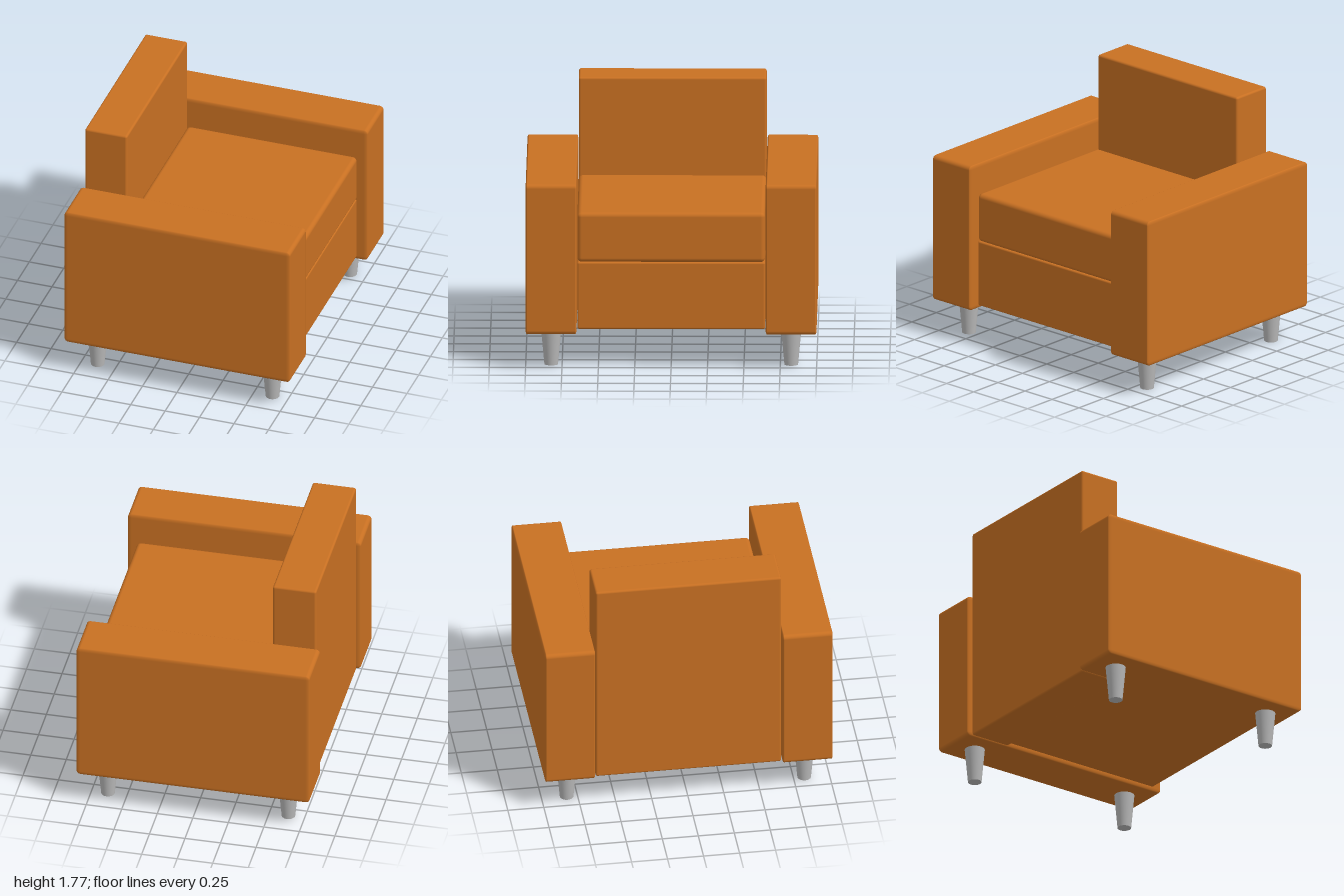
import * as THREE from 'three';
import { RoundedBoxGeometry } from 'three/addons/geometries/RoundedBoxGeometry.js';

export function createModel() {
  const group = new THREE.Group();
  const fabric = new THREE.MeshStandardMaterial({ color: 0xc87022 });
  fabric.name = 'orange upholstery';
  const metal = new THREE.MeshStandardMaterial({ color: 0xb8b8b8 });
  metal.name = 'grey leg';

  // Soft-edged block between two corners; squash flattens the rounding along z
  function block(name, min, max, radius, squash = 1) {
    const [w, h, d] = max.map((v, i) => v - min[i]);
    const geometry = new RoundedBoxGeometry(w, h, d / squash, 4, radius);
    geometry.scale(1, 1, squash);
    const mesh = new THREE.Mesh(geometry, fabric);
    mesh.name = name;
    mesh.position.set(...max.map((v, i) => (v + min[i]) / 2));
    group.add(mesh);
  }

  // Upholstered body: the seat opens toward +x
  block('backrest', [-0.79, 0.245, -0.645], [-0.485, 1.77, 0.645], 0.015);
  block('seatBase', [-0.485, 0.27, -0.645], [0.745, 0.74, 0.645], 0.012);
  block('seatCushion', [-0.485, 0.74, -0.645], [0.75, 1.088, 0.645], 0.03);
  block('leftArm', [-0.82, 0.245, 0.65], [0.82, 1.3, 1], 0.028, 0.4);
  block('rightArm', [-0.82, 0.245, -1], [0.82, 1.3, -0.65], 0.028, 0.4);

  // Tapered legs under the arm ends
  const legGeometry = new THREE.CylinderGeometry(0.07, 0.047, 0.25, 32);
  for (const x of [-0.635, 0.635]) {
    for (const z of [-0.825, 0.825]) {
      const leg = new THREE.Mesh(legGeometry, metal);
      leg.name = 'leg';
      leg.position.set(x, 0.125, z);
      group.add(leg);
    }
  }
  return group;
}
